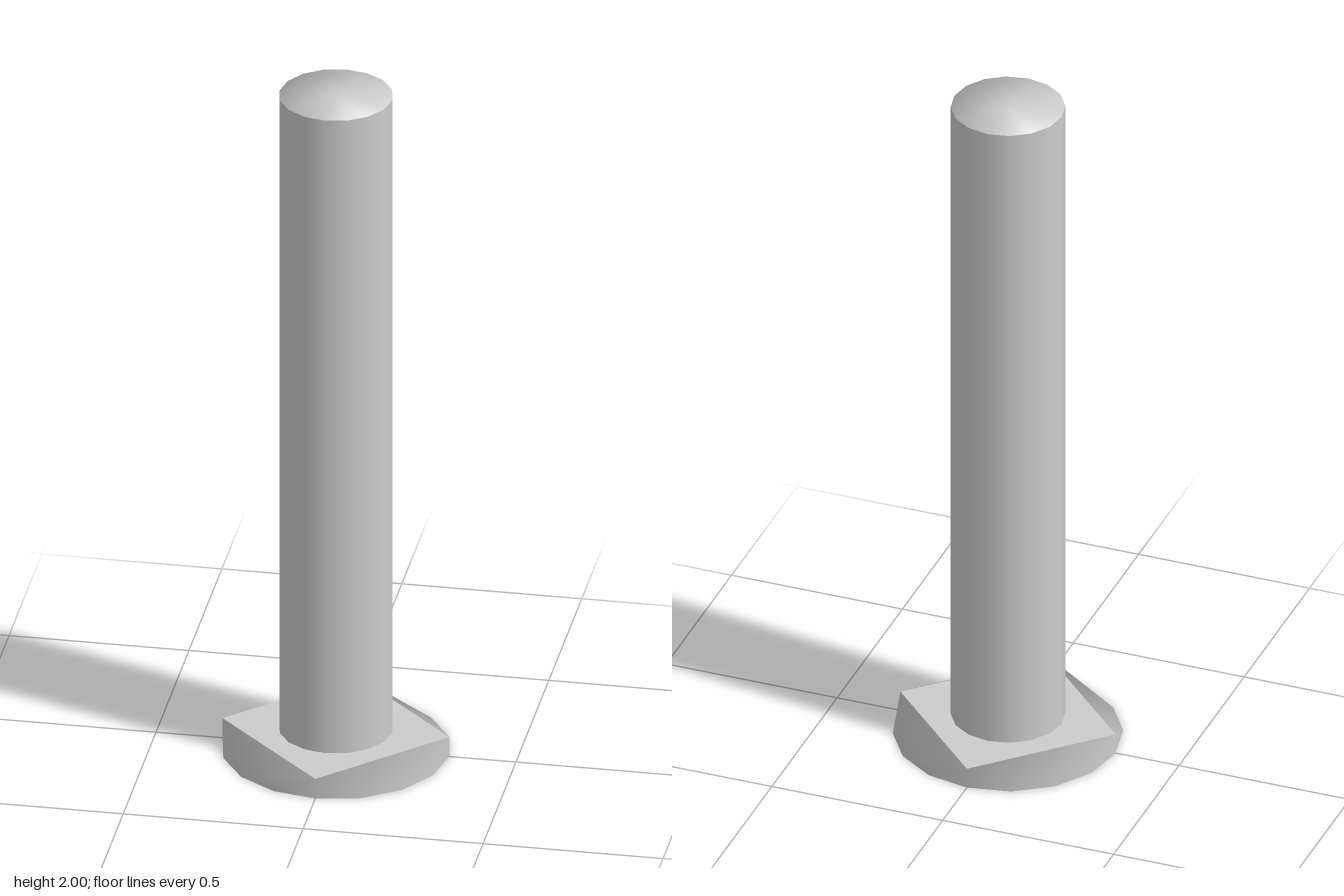
import * as THREE from 'three';

const SIDES = 16;
const BASE_R = 0.315, BASE_H = 0.06, POST_R = 0.157, TOP = 2;

// Point on a ring; step 0 lies on +z, counting towards +x
function ringPoint(step, radius, y) {
  const a = (step / SIDES) * Math.PI * 2;
  return [Math.sin(a) * radius, y, Math.cos(a) * radius];
}

// Open skirt blending the square plate down to a sixteen-sided foot
function skirtGeometry() {
  const positions = [], normals = [];
  const add = (step, y) => {
    positions.push(...ringPoint(step, BASE_R, y));
    normals.push(...ringPoint(step, 1, 0));
  };
  const triangle = (...corners) => corners.forEach(([step, y]) => add(step, y));
  for (let q = 0; q < SIDES; q += 4) {
    const a = [q, BASE_H], b = [q + 4, BASE_H];
    const foot = (i) => [q + i, 0];
    triangle(a, foot(0), foot(1));
    triangle(a, foot(1), foot(2));
    triangle(a, foot(2), b);
    triangle(b, foot(2), foot(3));
    triangle(b, foot(3), foot(4));
  }
  const g = new THREE.BufferGeometry();
  g.setAttribute('position', new THREE.Float32BufferAttribute(positions, 3));
  g.setAttribute('normal', new THREE.Float32BufferAttribute(normals, 3));
  return g;
}

// Square plate, corners on the axes, with a hole under the post
function plateGeometry() {
  const outline = (count, radius) => Array.from({ length: count }, (_, i) => {
    const [x, , z] = ringPoint((i * SIDES) / count, radius, 0);
    return new THREE.Vector2(x, -z);
  });
  const shape = new THREE.Shape(outline(4, BASE_R));
  shape.holes.push(new THREE.Path(outline(SIDES, POST_R)));
  return new THREE.ShapeGeometry(shape).rotateX(-Math.PI / 2).translate(0, BASE_H, 0);
}

// Flat cap whose rim normals lean outwards for a softly rounded look
function capGeometry() {
  const g = new THREE.CircleGeometry(POST_R, SIDES).rotateX(-Math.PI / 2);
  const p = g.attributes.position, n = g.attributes.normal;
  const v = new THREE.Vector3();
  for (let i = 0; i < p.count; i++) {
    v.set(p.getX(i), POST_R, p.getZ(i)).normalize();
    n.setXYZ(i, v.x, v.y, v.z);
  }
  return g.translate(0, TOP, 0);
}

export function createModel() {
  const model = new THREE.Group();
  model.name = 'post';
  const grey = new THREE.MeshStandardMaterial({ color: 0xcccccc, side: THREE.DoubleSide });
  grey.name = 'light grey';

  const add = (name, geometry) => {
    const mesh = new THREE.Mesh(geometry, grey);
    mesh.name = name;
    model.add(mesh);
  };

  // Hollow shaft, closed at the top only
  const height = TOP - BASE_H;
  add('shaft', new THREE.CylinderGeometry(POST_R, POST_R, height, SIDES, 1, true)
    .translate(0, BASE_H + height / 2, 0));
  add('shaftCap', capGeometry());

  // Base, open underneath
  add('basePlate', plateGeometry());
  add('baseSkirt', skirtGeometry());

  return model;
}
